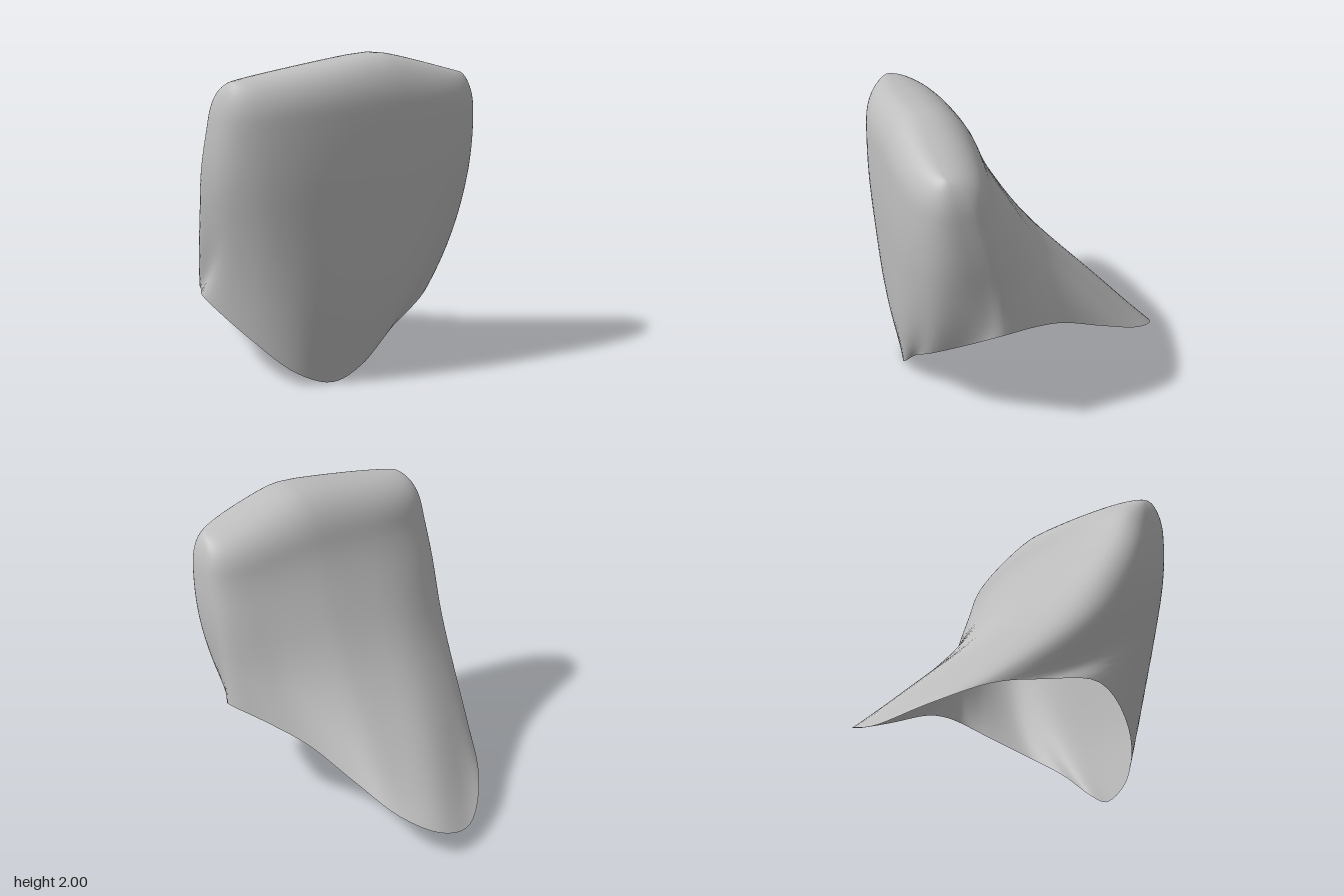
import * as THREE from 'three';
import { mergeVertices } from 'three/addons/utils/BufferGeometryUtils.js';

const COS = 0.888, SIN = 0.46; // the crown is turned about 27 degrees towards +x

// Open saddle-shaped lower rim, from the front round past +x
const rim = new THREE.CatmullRomCurve3([
  [-0.05, 0, 0.71], [0.13, 0.09, 0.66], [0.32, 0.28, 0.54], [0.55, 0.47, 0.38], [0.67, 0.64, 0.12],
  [0.72, 0.76, -0.1], [0.51, 0.70, -0.27], [0.27, 0.59, -0.43], [0.03, 0.43, -0.66], [-0.21, 0.28, -0.89],
  [-0.45, 0.18, -0.98], [-0.67, 0.12, -0.88], [-0.83, 0.22, -0.6], [-0.885, 0.36, -0.25],
  [-0.87, 0.42, 0.05], [-0.83, 0.455, 0.41], [-0.56, 0.28, 0.68], [-0.28, 0.08, 0.76],
].map((p) => new THREE.Vector3(...p)), true);

// Half width, front depth and back depth of the crown at each height
const heights = [0, 0.5, 1, 1.35, 1.7, 2];
const sizes = [
  0.78, 0.67, -0.42,
  0.815, 0.73, -0.29,
  0.855, 0.755, -0.07,
  0.875, 0.765, 0.05,
  0.865, 0.755, 0.17,
  0.84, 0.73, 0.23,
];
const profile = new THREE.CubicInterpolant(heights, sizes, 3);

const soften = (x, e) => Math.sign(x) * Math.abs(x) ** e;

// Point on the rounded crown section at height h and angle t
function section(h, t) {
  let [width, front, back] = profile.evaluate(h);
  if (h > 1.7) { // round over to the biting ridge
    const q = Math.max(0, 1 - ((h - 1.7) / 0.3) ** 2.5) ** 0.42;
    width *= 0.9 + 0.1 * q;
    front = 0.53 + (front - 0.53) * q;
    back = 0.53 + (back - 0.53) * q;
  }
  const mid = 0.42 * front + 0.58 * back;
  const c = soften(Math.cos(t), 0.68);
  const u = -0.18 + width * soften(Math.sin(t), 0.68);
  const v = mid + c * (c > 0 ? front - mid : mid - back) + 0.05 * (u + 0.1);
  const slope = u > -0.05 ? 0.28 : 0.155; // the ridge falls faster towards +x
  const drop = slope * (Math.hypot(u + 0.05, 0.1) - 0.1) * (h / 2) ** 4;
  return new THREE.Vector3(COS * u + SIN * v, h - drop, COS * v - SIN * u);
}

function crownGeometry(around = 96, up = 44) {
  const positions = [], index = [];
  for (let j = 0; j <= up; j++) {
    const s = Math.sin((j / up) * Math.PI / 2);
    for (let i = 0; i < around; i++) {
      const t = (i / around) * Math.PI * 2;
      const edge = rim.getPoint(i / around);
      const h = Math.min(2, edge.y + (2 - edge.y) * s);
      // the section flares out to meet the rim, most gently at the back
      const flare = edge.clone().sub(section(Math.max(0, edge.y), t));
      const power = 2.8 + 0.8 * Math.cos(t) + 1.2 * Math.sin(t) ** 2;
      const p = section(Math.max(0, h), t).addScaledVector(flare, (1 - s) ** power);
      positions.push(p.x, p.y, p.z);
      if (j < up) {
        const a = j * around + i, b = j * around + (i + 1) % around;
        index.push(a, b, b + around, a, b + around, a + around);
      }
    }
  }
  const geometry = new THREE.BufferGeometry();
  geometry.setAttribute('position', new THREE.Float32BufferAttribute(positions, 3));
  geometry.setIndex(index);
  const merged = mergeVertices(geometry, 1e-4); // joins both sides along the ridge
  merged.computeVertexNormals();
  return merged;
}

export function createModel() {
  const model = new THREE.Group();
  model.name = 'toothCrown';
  const grey = new THREE.MeshStandardMaterial({ color: 0xbfbfbf, side: THREE.DoubleSide });
  grey.name = 'lightGrey';
  const shell = new THREE.Mesh(crownGeometry(), grey);
  shell.name = 'crownShell';
  model.add(shell);
  return model;
}
